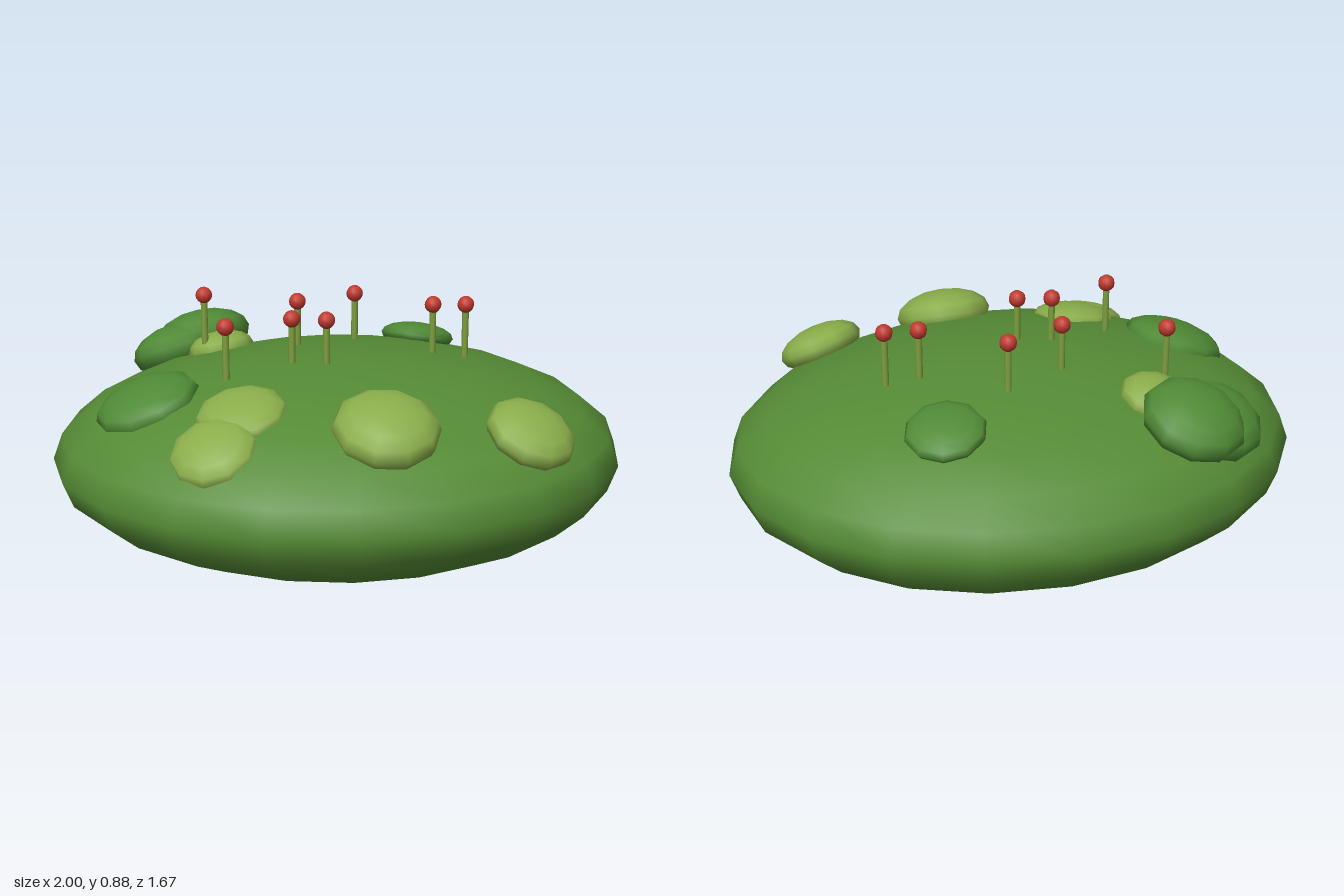
import * as THREE from 'three';

const MID_Y = 0.36;
const RADII = new THREE.Vector3(1, 0.352, 0.836);

export function createModel() {
  const model = new THREE.Group();
  const paint = (name, color) => {
    const material = new THREE.MeshStandardMaterial({ color });
    material.name = name;
    return material;
  };
  const moundGreen = paint('mound green', 0x558b35);
  const leafGreen = paint('dark leaf green', 0x4f8a35);
  const limeGreen = paint('light leaf green', 0x8aad4a);
  const stemGreen = paint('stem green', 0x7f9f3f);
  const berryRed = paint('berry red', 0xc0392f);

  const add = (parent, name, geometry, material) => {
    const mesh = new THREE.Mesh(geometry, material);
    mesh.name = name;
    parent.add(mesh);
    return mesh;
  };

  // Mound: flattened ball whose underside sinks slightly toward +x
  const moundShape = new THREE.SphereGeometry(1, 20, 12).scale(RADII.x, RADII.y, RADII.z);
  const pos = moundShape.attributes.position;
  for (let i = 0; i < pos.count; i++) {
    const y = pos.getY(i);
    if (y < -0.01) pos.setY(i, y + 0.05 * pos.getX(i) * y);
  }
  add(model, 'mound', moundShape, moundGreen).position.y = MID_Y;

  // Bushes: flattened balls leaning with the slope [x, y, z, radius, thickness, material]
  const bushes = new THREE.Group();
  bushes.name = 'bushes';
  model.add(bushes);
  const bushShape = new THREE.SphereGeometry(1, 10, 8);
  const up = new THREE.Vector3(0, 1, 0);
  [
    [-0.66, 0.60, 0.145, 0.185, 0.075, leafGreen],
    [-0.465, 0.64, -0.55, 0.18, 0.095, leafGreen],
    [-0.56, 0.60, -0.50, 0.17, 0.095, leafGreen],
    [0.34, 0.65, -0.43, 0.137, 0.05, leafGreen],
    [-0.40, 0.64, -0.36, 0.122, 0.065, limeGreen],
    [-0.35, 0.63, 0.38, 0.155, 0.06, limeGreen],
    [-0.445, 0.555, 0.53, 0.148, 0.065, limeGreen],
    [0.105, 0.63, 0.56, 0.178, 0.09, limeGreen],
    [0.585, 0.58, 0.505, 0.155, 0.075, limeGreen],
  ].forEach(([x, y, z, radius, thickness, material]) => {
    const bush = add(bushes, 'bush', bushShape, material);
    bush.position.set(x, y, z);
    bush.scale.set(radius, thickness, radius);
    const normal = new THREE.Vector3(x, y - MID_Y, z).divide(RADII).divide(RADII).normalize();
    bush.quaternion.setFromUnitVectors(up, normal);
  });

  // Berries on upright stems [x, z]
  const stemShape = new THREE.CylinderGeometry(0.012, 0.012, 0.21, 8);
  const berryShape = new THREE.SphereGeometry(0.03, 10, 8);
  [
    [-0.458, -0.295], [-0.392, 0.137], [-0.163, 0.055], [-0.128, -0.177],
    [-0.046, 0.083], [0.086, -0.27], [0.346, -0.09], [0.461, -0.08],
  ].forEach(([x, z]) => {
    const sprig = new THREE.Group();
    sprig.name = 'berrySprig';
    sprig.position.set(x, 0, z);
    add(sprig, 'stem', stemShape, stemGreen).position.y = 0.755;
    add(sprig, 'berry', berryShape, berryRed).position.y = 0.86;
    model.add(sprig);
  });

  return model;
}
